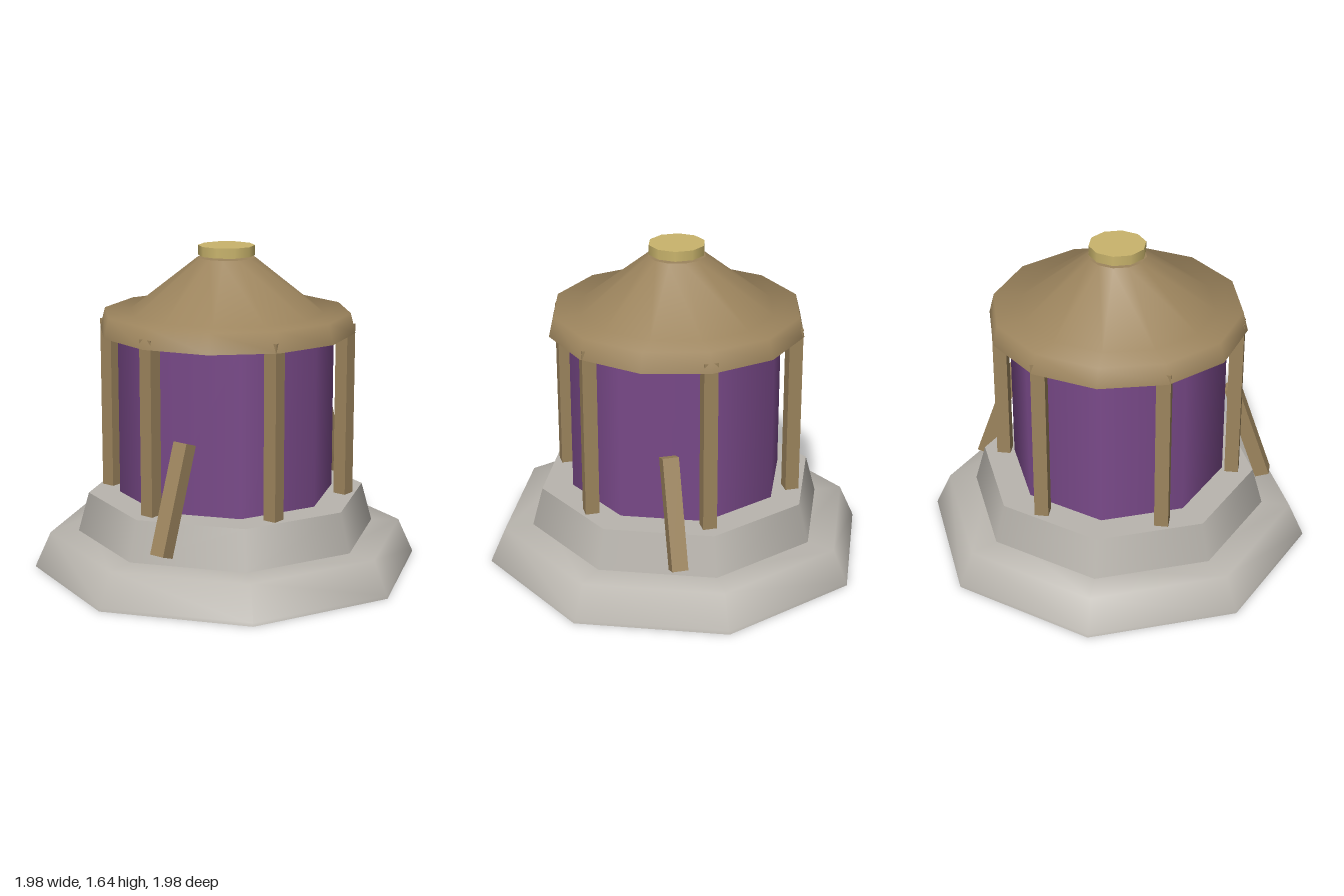
import * as THREE from 'three';

const stone = new THREE.MeshStandardMaterial({ name: 'stone', color: 0xb9b5ae });
const wood = new THREE.MeshStandardMaterial({ name: 'wood', color: 0x9c845d });
const purple = new THREE.MeshStandardMaterial({ name: 'purple', color: 0x7a4a8a });
const gold = new THREE.MeshStandardMaterial({ name: 'gold', color: 0xc9b46c });

export function createModel() {
  const group = new THREE.Group();

  function add(name, geometry, material, x = 0, y = 0, z = 0) {
    const mesh = new THREE.Mesh(geometry, material);
    mesh.name = name;
    mesh.position.set(x, y, z);
    group.add(mesh);
    return mesh;
  }
  // Cylinder between two heights
  const tier = (name, rBottom, rTop, y0, y1, sides, material) =>
    add(name, new THREE.CylinderGeometry(rTop, rBottom, y1 - y0, sides), material, 0, (y0 + y1) / 2);
  // Softly shaded turned shell
  const shell = (name, profile, sides, material) =>
    add(name, new THREE.LatheGeometry(profile.map(([r, y]) => new THREE.Vector2(r, y)), sides), material);
  // Flat polygon facing up (1) or down (-1)
  const disc = (name, r, y, sides, facing, material) =>
    add(name, new THREE.CircleGeometry(r, sides).rotateX(-facing * Math.PI / 2), material, 0, y);

  // Stepped octagonal plinth
  shell('lowerPlinth', [[0.99, 0], [0.985, 0.015], [0.91, 0.18], [0.7, 0.185]], 8, stone);
  disc('plinthUnderside', 0.99, 0, 8, -1, stone);
  tier('upperPlinth', 0.765, 0.71, 0.185, 0.385, 8, stone);

  // Drum
  tier('drum', 0.55, 0.55, 0.38, 1.22, 8, purple);

  // Six posts around the drum
  for (let i = 0; i < 6; i++) {
    const a = i * Math.PI / 3;
    add('post', new THREE.BoxGeometry(0.07, 0.875, 0.07), wood,
      0.6 * Math.cos(a), 0.8225, 0.6 * Math.sin(a));
  }

  // Leaning side braces
  for (const side of [-1, 1]) {
    const brace = add('sideBrace', new THREE.BoxGeometry(0.075, 0.55, 0.08), wood, side * 0.662, 0.51, 0.19);
    brace.rotation.z = side * 0.335;
  }

  // Roof: eave band, shelf and cone, softly shaded together
  shell('roof', [[0.65, 1.215], [0.625, 1.315], [0.49, 1.315], [0.145, 1.585]], 12, wood);
  disc('roofUnderside', 0.65, 1.215, 12, -1, wood);
  disc('roofTop', 0.145, 1.585, 12, 1, wood);

  // Cap
  tier('cap', 0.142, 0.142, 1.595, 1.645, 10, gold);

  return group;
}
